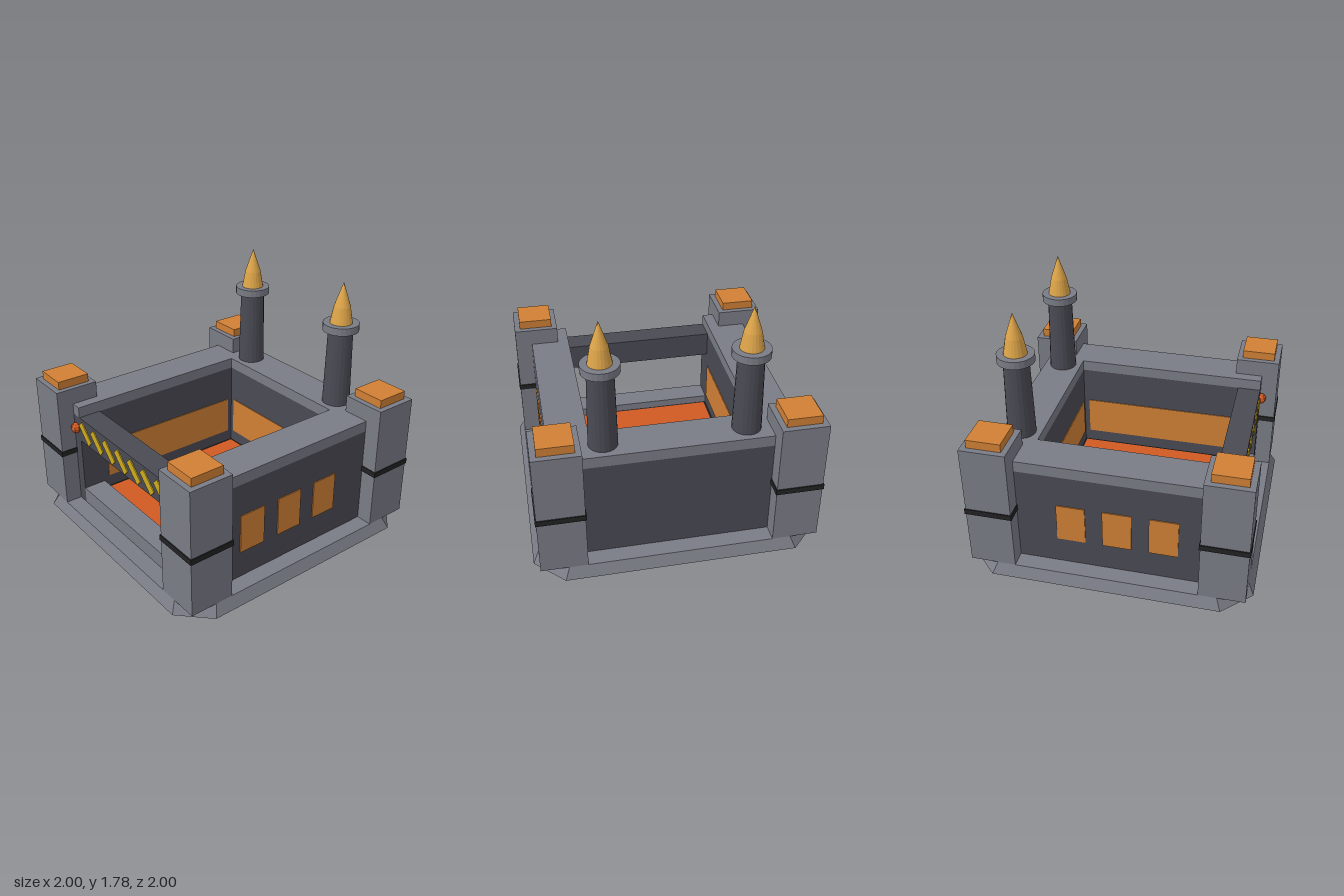
import * as THREE from 'three';

const mat = (name, color, flat = true) => {
  const m = new THREE.MeshStandardMaterial({ color, flatShading: flat });
  m.name = name;
  return m;
};

export function createModel() {
  const stone = mat('stone grey', 0x7a7c86);
  const dark = mat('dark iron', 0x4a4a54);
  const black = mat('black', 0x222224);
  const orange = mat('glowing orange', 0xd08035);
  const ember = mat('ember red', 0xd05a22);
  const yellow = mat('hazard yellow', 0xceab20);
  const flameGold = mat('flame gold', 0xdea549);

  const model = new THREE.Group();
  model.name = 'forge';

  const add = (name, geometry, material, x = 0, y = 0, z = 0) => {
    const mesh = new THREE.Mesh(geometry, material);
    mesh.name = name;
    mesh.position.set(x, y, z);
    model.add(mesh);
    return mesh;
  };
  // Box given by its minimum and maximum corners
  const box = (name, material, [x0, y0, z0], [x1, y1, z1]) =>
    add(name, new THREE.BoxGeometry(x1 - x0, y1 - y0, z1 - z0), material,
      (x0 + x1) / 2, (y0 + y1) / 2, (z0 + z1) / 2);

  // Base: octagonal slab that narrows towards the top
  const outline = [[1, -0.8], [1, 0.8], [0.8, 1], [-0.8, 1], [-1, 0.8], [-1, -0.8], [-0.8, -1], [0.8, -1]];
  const slab = new THREE.ExtrudeGeometry(
    new THREE.Shape(outline.map(([x, y]) => new THREE.Vector2(x, y))),
    { depth: 0.08, bevelEnabled: false });
  slab.rotateX(-Math.PI / 2);
  const p = slab.attributes.position;
  for (let i = 0; i < p.count; i++) {
    if (p.getY(i) > 0.04) p.setXYZ(i, p.getX(i) * 0.96, 0.08, p.getZ(i) * 0.96);
  }
  slab.computeVertexNormals();
  add('base', slab, stone);

  // Back wall with coping
  box('backWall', dark, [-0.56, 0.08, -0.84], [0.56, 0.8, -0.56]);
  box('backCoping', stone, [-0.56, 0.8, -0.84], [0.56, 0.88, -0.56]);
  box('backInnerPanel', orange, [-0.525, 0.235, -0.562], [0.525, 0.525, -0.554]);

  // Front sill and beam around the opening
  box('frontSill', stone, [-0.56, 0.08, 0.67], [0.56, 0.2, 0.84]);
  box('frontBeam', dark, [-0.56, 0.61, 0.67], [0.56, 0.8, 0.84]);

  // Pit floor with a black rim
  box('pitRim', black, [-0.56, 0.08, -0.56], [0.56, 0.14, 0.67]);
  box('pitFloor', ember, [-0.543, 0.14, -0.545], [0.543, 0.148, 0.655]);

  // Hazard stripes on the beam
  for (let i = -3; i <= 3; i++) {
    const stripe = add('hazardStripe', new THREE.BoxGeometry(0.17, 0.062, 0.009), yellow, i * 0.16, 0.7, 0.843);
    stripe.rotation.z = -Math.PI / 4;
  }

  for (const s of [-1, 1]) {
    // Side wall, coping and inner panel
    const sideBox = (name, material, xa, xb, y0, y1, z0, z1) =>
      box(name, material, [Math.min(s * xa, s * xb), y0, z0], [Math.max(s * xa, s * xb), y1, z1]);
    sideBox('sideWall', dark, 0.56, 0.84, 0.08, 0.8, -0.84, 0.84);
    sideBox('sideCoping', stone, 0.56, 0.84, 0.8, 0.88, -0.84, 0.84);
    sideBox('sideInnerPanel', orange, 0.554, 0.562, 0.235, 0.525, -0.52, 0.63);

    // Outer windows
    for (const z of [-0.26, 0.06, 0.38]) {
      sideBox('sideWindow', orange, 0.838, 0.847, 0.28, 0.565, z - 0.1, z + 0.1);
    }

    // Round lamp at the end of the beam
    add('lamp', new THREE.SphereGeometry(0.04, 8, 6), ember, s * 0.6, 0.705, 0.85);

    // Corner towers with a band and a cap
    for (const t of [-1, 1]) {
      const x = s * 0.8, z = t * 0.8;
      add('tower', new THREE.BoxGeometry(0.32, 0.92, 0.32), stone, x, 0.54, z);
      add('towerBand', new THREE.BoxGeometry(0.334, 0.04, 0.334), black, x, 0.5, z);
      add('towerCap', new THREE.BoxGeometry(0.24, 0.06, 0.24), orange, x, 1.03, z);
    }

    // Chimney, collar and flame
    add('chimney', new THREE.CylinderGeometry(0.088, 0.1, 0.57, 20), dark, s * 0.48, 1.155, -0.7);
    add('chimneyCollar', new THREE.CylinderGeometry(0.128, 0.128, 0.055, 24), stone, s * 0.48, 1.4625, -0.7);
    const profile = [[0.08, 0], [0.058, 0.12], [0.001, 0.29]].map(([r, y]) => new THREE.Vector2(r, y));
    add('flame', new THREE.LatheGeometry(profile, 20), flameGold, s * 0.48, 1.49, -0.7);
  }
  return model;
}
